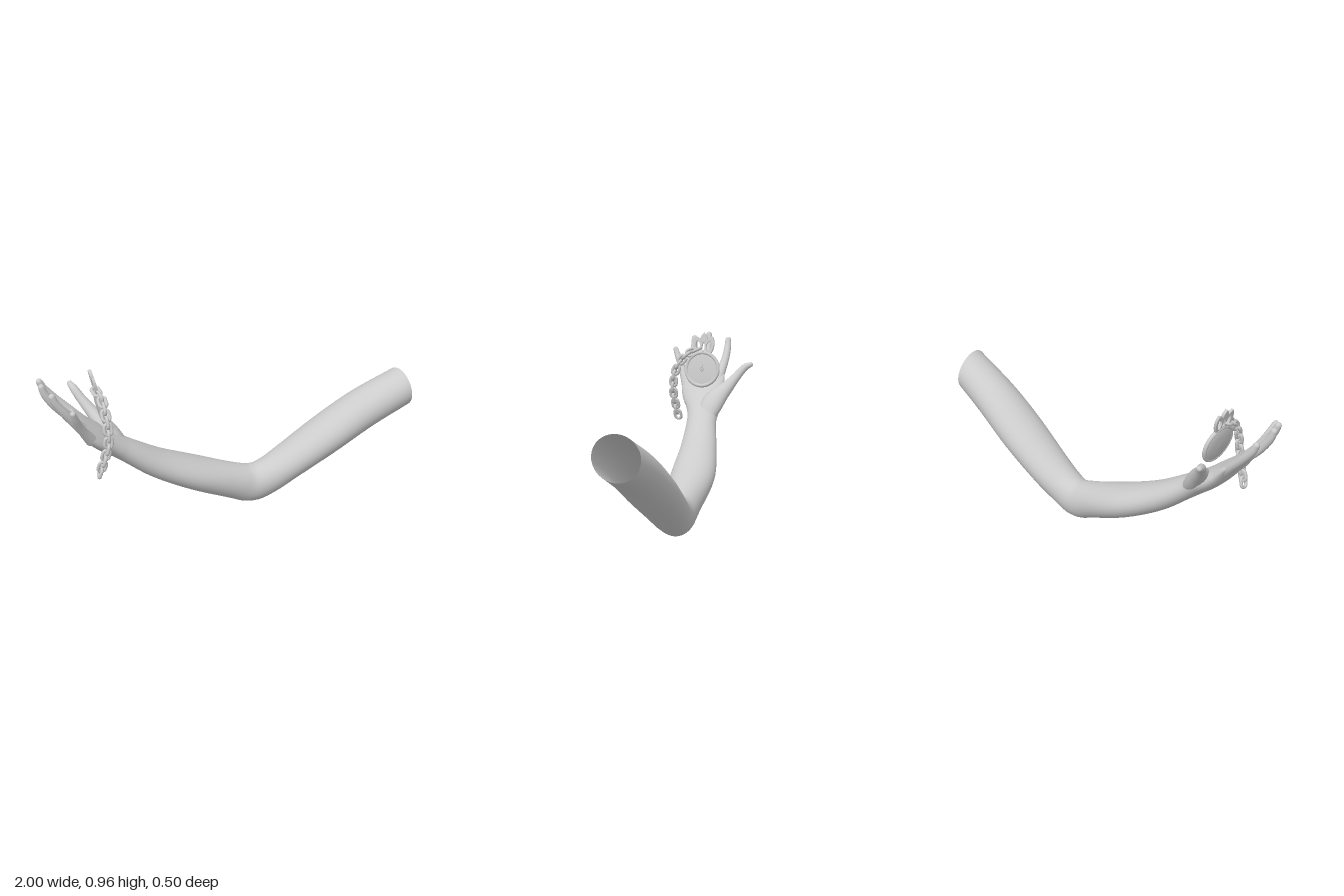
import * as THREE from 'three';

const grey = new THREE.MeshStandardMaterial({ color: 0xcccccc, side: THREE.DoubleSide });

function add(parent, name, geometry) {
  const mesh = new THREE.Mesh(geometry, grey);
  mesh.name = name;
  parent.add(mesh);
  return mesh;
}

// Skin through stations [x, y, z, thickness radius, width radius] with a rounded far end.
// The near end is rounded too, or left open with a slanted cut.
function limb(stations, rows, sides, openEnd = false) {
  const path = new THREE.CatmullRomCurve3(stations.map(s => new THREE.Vector3(s[0], s[1], s[2])), false, 'catmullrom', 0.5);
  const size = new THREE.CatmullRomCurve3(stations.map(s => new THREE.Vector3(s[3], s[4], 0)), false, 'catmullrom', 0.5);
  const pos = [], index = [];
  const ring = (c, t, thick, wide, slant = 0) => {
    const side = new THREE.Vector3(0, 0, 1).addScaledVector(t, -t.z).normalize();
    const up = new THREE.Vector3().crossVectors(t, side);
    for (let j = 0; j < sides; j++) {
      const a = j / sides * Math.PI * 2;
      const p = c.clone().addScaledVector(side, Math.cos(a) * wide).addScaledVector(up, Math.sin(a) * thick);
      p.addScaledVector(t, -slant * (0.032 * Math.sin(a) + 0.024 * Math.cos(a)));
      pos.push(p.x, p.y, p.z);
    }
  };
  const dome = (t, sign, k) => {
    const a = k / 6 * Math.PI / 2, s = size.getPoint(t), dir = path.getTangent(t);
    ring(path.getPoint(t).addScaledVector(dir, sign * s.x * Math.sin(a)), dir, s.x * Math.cos(a), s.y * Math.cos(a));
  };
  if (!openEnd) for (let k = 6; k > 0; k--) dome(0, -1, k);
  for (let i = 0; i <= rows; i++) {
    const t = i / rows, s = size.getPoint(t);
    ring(path.getPoint(t), path.getTangent(t), s.x, s.y, openEnd ? Math.max(0, 1 - i / 8) : 0);
  }
  for (let k = 1; k <= 6; k++) dome(1, 1, k);
  const total = pos.length / 3 / sides;
  for (let i = 0; i < total - 1; i++) {
    for (let j = 0; j < sides; j++) {
      const a = i * sides + j, b = i * sides + (j + 1) % sides;
      index.push(a, b, a + sides, b, b + sides, a + sides);
    }
  }
  const g = new THREE.BufferGeometry();
  g.setAttribute('position', new THREE.Float32BufferAttribute(pos, 3));
  g.setIndex(index);
  g.computeVertexNormals();
  return g;
}

function buildArm(model) {
  const arm = new THREE.Group();
  arm.name = 'arm';
  model.add(arm);
  // Open upper arm, elbow, forearm, wrist and palm in one skin
  add(arm, 'armAndPalm', limb([
    [0.974, 0.564, -0.110, 0.104, 0.110],
    [0.750, 0.456, -0.112, 0.106, 0.123],
    [0.550, 0.333, -0.115, 0.102, 0.130],
    [0.350, 0.207, -0.115, 0.095, 0.117],
    [0.225, 0.135, -0.110, 0.098, 0.101],
    [0.128, 0.106, -0.110, 0.107, 0.092],
    [0.020, 0.140, -0.102, 0.097, 0.098],
    [-0.200, 0.237, -0.085, 0.086, 0.120],
    [-0.400, 0.345, -0.053, 0.074, 0.102],
    [-0.550, 0.455, -0.021, 0.060, 0.084],
    [-0.620, 0.508, -0.009, 0.054, 0.089],
    [-0.690, 0.563, 0.004, 0.050, 0.110],
    [-0.750, 0.622, 0.032, 0.044, 0.122],
    [-0.800, 0.680, 0.046, 0.031, 0.127],
    [-0.828, 0.713, 0.050, 0.022, 0.122]], 90, 32, true));
  // Fingers and thumb, root to tip
  const digits = {
    indexFinger: [[-0.79, 0.665, -0.035, 0.030, 0.034], [-0.845, 0.725, -0.048, 0.025, 0.027],
      [-0.905, 0.79, -0.056, 0.022, 0.022], [-0.953, 0.85, -0.055, 0.020, 0.020], [-0.974, 0.893, -0.052, 0.016, 0.016]],
    middleFinger: [[-0.79, 0.665, 0.030, 0.030, 0.036], [-0.85, 0.73, 0.044, 0.025, 0.027],
      [-0.915, 0.80, 0.057, 0.022, 0.022], [-0.962, 0.87, 0.063, 0.020, 0.020], [-0.980, 0.919, 0.066, 0.016, 0.016]],
    ringFinger: [[-0.79, 0.665, 0.090, 0.030, 0.036], [-0.84, 0.73, 0.113, 0.025, 0.026],
      [-0.89, 0.80, 0.132, 0.022, 0.022], [-0.928, 0.86, 0.141, 0.019, 0.019], [-0.944, 0.90, 0.145, 0.016, 0.016]],
    littleFinger: [[-0.77, 0.635, 0.130, 0.030, 0.034], [-0.805, 0.695, 0.163, 0.024, 0.025],
      [-0.832, 0.75, 0.192, 0.020, 0.020], [-0.852, 0.80, 0.217, 0.018, 0.018], [-0.864, 0.84, 0.235, 0.014, 0.014]],
    thumb: [[-0.570, 0.474, -0.030, 0.030, 0.050], [-0.625, 0.540, -0.046, 0.045, 0.064],
      [-0.668, 0.598, -0.078, 0.043, 0.058], [-0.712, 0.652, -0.125, 0.033, 0.037], [-0.752, 0.705, -0.165, 0.025, 0.025],
      [-0.784, 0.755, -0.202, 0.021, 0.021], [-0.800, 0.774, -0.236, 0.014, 0.014]],
  };
  for (const [name, stations] of Object.entries(digits)) add(arm, name, limb(stations, 24, 16));
}

function plate(shape, depth, bevel) {
  return new THREE.ExtrudeGeometry(shape, {
    depth, bevelEnabled: bevel > 0, bevelSize: bevel, bevelThickness: bevel, bevelSegments: 2, curveSegments: 10,
  });
}

function leaf(length, width) {
  const s = new THREE.Shape();
  s.moveTo(0, 0);
  s.quadraticCurveTo(width, length * 0.35, 0, length);
  s.quadraticCurveTo(-width, length * 0.35, 0, 0);
  return s;
}

function buildWatch(model) {
  // Built facing +z, then turned to face along the arm
  const watch = new THREE.Group();
  watch.name = 'pocketWatch';
  watch.position.set(-0.695, 0.75, 0.02);
  watch.rotation.set(0, Math.PI / 2, 0.2, 'ZYX');
  model.add(watch);

  const profile = [[0, -0.019], [0.05, -0.017], [0.082, -0.012], [0.096, -0.005], [0.096, 0.004], [0, 0.004]]
    .map(p => new THREE.Vector2(...p));
  add(watch, 'watchCase', new THREE.LatheGeometry(profile, 48).rotateX(Math.PI / 2));
  add(watch, 'watchRim', new THREE.TorusGeometry(0.094, 0.0105, 12, 48));
  add(watch, 'handHub', new THREE.TorusGeometry(0.010, 0.0035, 8, 20)).position.z = 0.007;
  add(watch, 'hubPin', new THREE.SphereGeometry(0.005, 12, 8)).position.z = 0.007;

  // Clock hands at twelve and three
  [['minuteHand', 0.060, 0], ['hourHand', 0.046, -Math.PI / 2]].forEach(([name, length, turn]) => {
    const hand = new THREE.Group();
    hand.name = name;
    hand.rotation.z = turn;
    hand.position.z = 0.006;
    watch.add(hand);
    add(hand, name + 'Stem', new THREE.BoxGeometry(0.003, length * 0.7, 0.004)).position.y = length * 0.35;
    add(hand, name + 'Tip', plate(leaf(length * 0.75, 0.006), 0.003, 0)).position.y = length * 0.25;
  });

  // Crown ornament: two pierced side petals and a central bud
  for (const m of [-1, 1]) {
    const petal = new THREE.Shape();
    petal.moveTo(m * 0.010, 0.095);
    petal.bezierCurveTo(m * 0.016, 0.120, m * 0.004, 0.135, m * 0.006, 0.158);
    petal.bezierCurveTo(m * 0.020, 0.170, m * 0.036, 0.184, m * 0.050, 0.185);
    petal.bezierCurveTo(m * 0.066, 0.160, m * 0.064, 0.125, m * 0.046, 0.092);
    const hole = new THREE.Path();
    hole.moveTo(m * 0.030, 0.100);
    hole.bezierCurveTo(m * 0.010, 0.125, m * 0.014, 0.150, m * 0.040, 0.164);
    hole.bezierCurveTo(m * 0.053, 0.142, m * 0.049, 0.118, m * 0.030, 0.100);
    petal.holes.push(hole);
    add(watch, 'crownPetal', plate(petal, 0.010, 0.002)).position.z = -0.005;
  }
  const bud = add(watch, 'crownBud', plate(leaf(0.054, 0.035), 0.012, 0.002));
  bud.position.set(0, 0.151, -0.006);
  add(watch, 'crownBase', new THREE.CylinderGeometry(0.018, 0.030, 0.012, 16).scale(1, 1, 0.4)).position.y = 0.104;
}

function buildChain(model) {
  const chain = new THREE.Group();
  chain.name = 'chain';
  model.add(chain);
  const path = new THREE.CatmullRomCurve3([
    [-0.718, 0.856, 0.060], [-0.703, 0.832, 0.107], [-0.698, 0.785, 0.152], [-0.693, 0.720, 0.183],
    [-0.698, 0.620, 0.193], [-0.720, 0.545, 0.188], [-0.742, 0.475, 0.180]].map(p => new THREE.Vector3(...p)));

  // Stadium-shaped link, long along y
  const r = 0.018, h = 0.010, pts = [];
  for (let i = 0; i < 24; i++) {
    const a = (i + 0.5) / 24 * Math.PI * 2;
    pts.push(new THREE.Vector3(Math.cos(a) * r, Math.sin(a) * r + (Math.sin(a) > 0 ? h : -h), 0));
  }
  const link = new THREE.TubeGeometry(new THREE.CatmullRomCurve3(pts, true), 40, 0.0085, 8, true);

  const count = 14;
  for (let i = 0; i < count; i++) {
    const u = i / (count - 1);
    const t = path.getTangentAt(u);
    const normal = new THREE.Vector3(1, 0, 0).addScaledVector(t, -t.x).normalize();
    const across = new THREE.Vector3().crossVectors(t, normal);
    const mesh = add(chain, 'chainLink', link);
    mesh.quaternion.setFromRotationMatrix(new THREE.Matrix4().makeBasis(across, t, normal));
    // Every other link is turned a quarter about the chain
    mesh.rotateY((count - 1 - i) % 2 ? Math.PI / 2 : 0);
    mesh.position.copy(path.getPointAt(u));
  }
}

export function createModel() {
  const model = new THREE.Group();
  model.name = 'armWithPocketWatch';
  buildArm(model);
  buildWatch(model);
  buildChain(model);
  return model;
}
